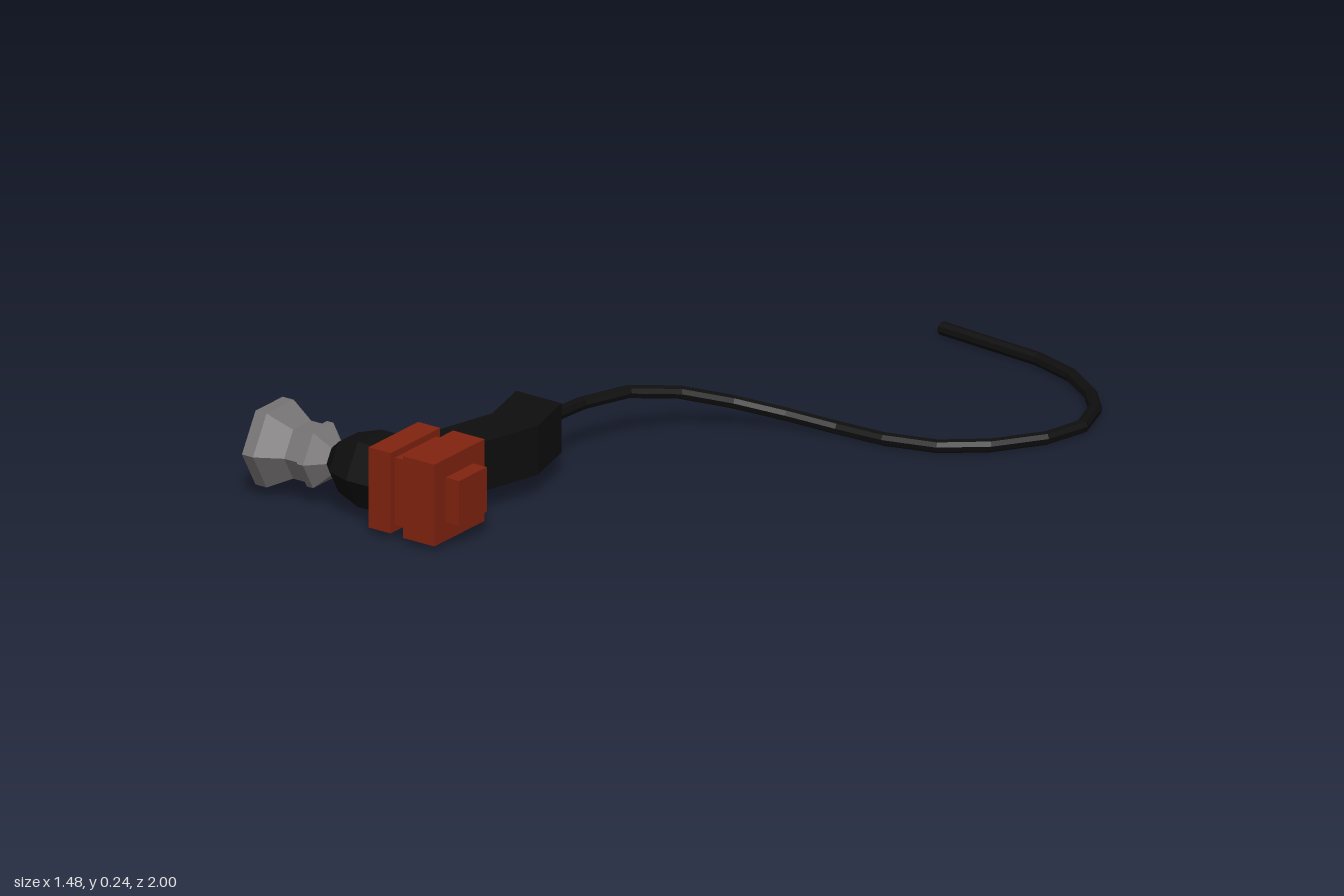
import * as THREE from 'three';

export function createModel() {
  const model = new THREE.Group();
  model.name = 'cordedHandTool';

  const paint = (name, color) => new THREE.MeshStandardMaterial({ name, color, flatShading: true });
  const black = paint('black rubber', 0x0e0e0e);
  const rust = paint('rust red', 0x80230f);
  const grey = paint('grey metal', 0x767375);

  const AXIS_Y = 0.132, AXIS_Z = 0.882;

  function add(name, geometry, material, x = 0, y = 0, z = 0) {
    const mesh = new THREE.Mesh(geometry, material);
    mesh.name = name;
    mesh.position.set(x, y, z);
    model.add(mesh);
    return mesh;
  }

  // Six-sided turned part along x; profile rows are [radius, x]
  function turned(name, profile, material) {
    const geometry = new THREE.LatheGeometry(profile.map(([r, x]) => new THREE.Vector2(r, x)), 6);
    geometry.rotateZ(-Math.PI / 2);
    add(name, geometry, material, 0, AXIS_Y, AXIS_Z);
  }

  // Flared nozzle with a hollow mouth
  turned('nozzle', [
    [0, -0.64], [0.055, -0.64], [0.118, -0.74], [0.118, -0.705], [0.078, -0.635],
    [0.078, -0.592], [0.088, -0.588], [0.088, -0.568], [0.042, -0.525], [0, -0.515],
  ], grey);

  // Rounded collar behind the nozzle
  turned('collar', [
    [0, -0.527], [0.042, -0.527], [0.08, -0.49], [0.104, -0.42], [0.104, -0.34], [0, -0.34],
  ], black);

  // Stacked blocks of the housing: [name, x start, x end, height, depth]
  const blocks = [
    ['housingFrontPlate', -0.345, -0.275, 0.222, 0.215],
    ['housingNeck', -0.275, -0.235, 0.186, 0.178],
    ['housingMainBlock', -0.235, -0.135, 0.226, 0.218],
    ['housingEndButton', -0.135, -0.092, 0.124, 0.12],
  ];
  for (const [name, x0, x1, height, depth] of blocks) {
    add(name, new THREE.BoxGeometry(x1 - x0, height, depth), rust, (x0 + x1) / 2, AXIS_Y, AXIS_Z);
  }

  // Bent grip: plan outline (x, -z) extruded upwards
  const spine = [[-0.258, 0.8], [-0.258, 0.69], [-0.216, 0.53], [-0.258, 0.37]];
  const half = 0.072;
  const outline = [
    ...spine.map(([x, z]) => new THREE.Vector2(x - half, -z)),
    ...spine.slice().reverse().map(([x, z]) => new THREE.Vector2(x + half, -z)),
  ];
  const grip = new THREE.ExtrudeGeometry(new THREE.Shape(outline), { depth: 0.136, bevelEnabled: false });
  grip.rotateX(-Math.PI / 2);
  add('grip', grip, black, 0, 0.065, 0);

  // Power cord drooping from the grip and curling along the ground
  const path = [
    [-0.26, 0.132, 0.39], [-0.245, 0.132, 0.2], [-0.2, 0.129, 0.06], [-0.125, 0.106, -0.06],
    [-0.03, 0.07, -0.16], [0.085, 0.038, -0.235], [0.22, 0.02, -0.275], [0.36, 0.019, -0.285],
    [0.5, 0.019, -0.325], [0.605, 0.019, -0.41], [0.69, 0.019, -0.535], [0.718, 0.019, -0.655],
    [0.675, 0.019, -0.77], [0.605, 0.019, -0.845], [0.49, 0.019, -0.92], [0.355, 0.019, -0.96],
    [0.03, 0.019, -0.985],
  ].map((p) => new THREE.Vector3(...p));
  const curve = new THREE.CatmullRomCurve3(path);
  // One tube ring at each path point
  curve.getPointAt = curve.getPoint;
  curve.getTangentAt = curve.getTangent;
  add('cord', new THREE.TubeGeometry(curve, path.length - 1, 0.018, 8), black);

  // Flat cap on the free end of the cord
  const end = path[path.length - 1];
  const cap = add('cordEnd', new THREE.CircleGeometry(0.018, 8), black, end.x, end.y, end.z);
  cap.lookAt(end.clone().add(curve.getTangent(1)));

  return model;
}
